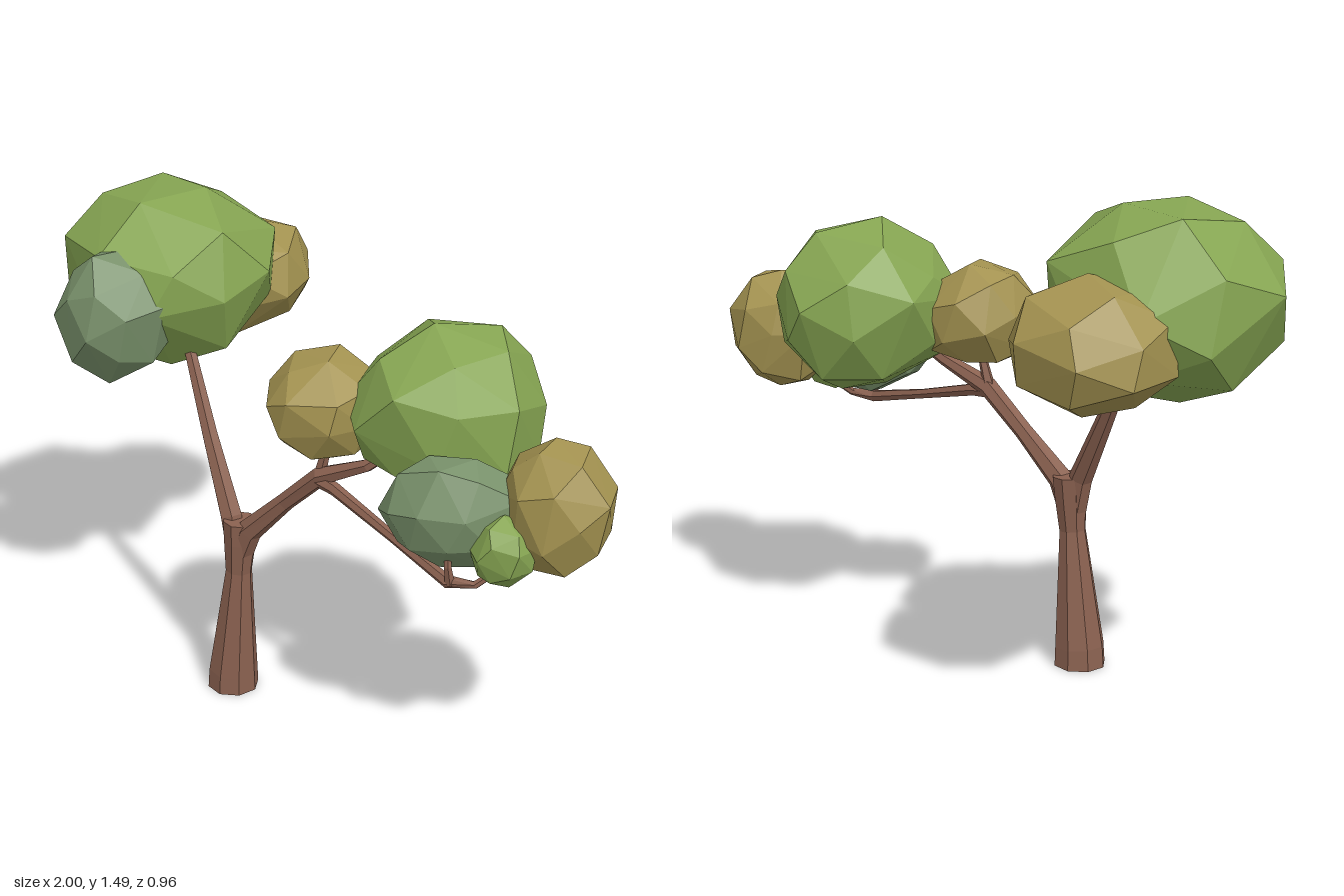
import * as THREE from 'three';
import { ConvexGeometry } from 'three/addons/geometries/ConvexGeometry.js';

const mat = (color) => new THREE.MeshStandardMaterial({ color, flatShading: true });

function seeded(seed) {
  let s = seed * 7919 + 17;
  return () => (s = (s * 16807) % 2147483647) / 2147483647;
}

// Faceted leaf clump: jittered sphere points, hulled and fitted to a box.
// shear slides x along z for clumps that lie diagonally.
function clumpGeometry(center, half, seed, count, shear = 0) {
  const rnd = seeded(seed);
  for (let i = 0; i < 5; i++) rnd();
  const turn = new THREE.Euler(rnd() * 6, rnd() * 6, rnd() * 6);
  const pts = [];
  for (let i = 0; i < count; i++) {
    const y = 1 - (2 * i + 1) / count;
    const r = Math.sqrt(1 - y * y);
    const a = i * 2.39996 + (rnd() - 0.5) * 0.35;
    const p = new THREE.Vector3(Math.cos(a) * r, y, Math.sin(a) * r);
    p.multiplyScalar(0.94 + rnd() * 0.12).applyEuler(turn);
    p.x += p.z * shear;
    pts.push(p);
  }
  const box = new THREE.Box3().setFromPoints(pts);
  const mid = box.getCenter(new THREE.Vector3());
  const size = box.getSize(new THREE.Vector3());
  const scale = new THREE.Vector3(...half).multiplyScalar(2).divide(size);
  const c = new THREE.Vector3(...center);
  pts.forEach((p) => p.sub(mid).multiply(scale).add(c));
  return new ConvexGeometry(pts);
}

// Tapered limb through rings given as [x, y, z, radius], closed at both ends.
function limbGeometry(rings, sides) {
  const P = rings.map((r) => new THREE.Vector3(r[0], r[1], r[2]));
  const pos = [], idx = [];
  const last = P.length - 1;
  const ref = new THREE.Vector3(0, 0, 1);
  P.forEach((p, i) => {
    const t = P[Math.min(i + 1, last)].clone().sub(P[Math.max(i - 1, 0)]).normalize();
    if (p.y === 0) t.set(0, 1, 0); // flat foot on the ground
    const u = new THREE.Vector3().crossVectors(t, ref).normalize();
    const v = new THREE.Vector3().crossVectors(t, u);
    for (let k = 0; k < sides; k++) {
      const a = ((k + 0.5) / sides) * Math.PI * 2;
      const q = p.clone()
        .addScaledVector(u, Math.cos(a) * rings[i][3])
        .addScaledVector(v, Math.sin(a) * rings[i][3]);
      pos.push(q.x, q.y, q.z);
    }
  });
  for (let i = 0; i < last; i++) {
    for (let k = 0; k < sides; k++) {
      const n = (k + 1) % sides;
      const a = i * sides + k, b = i * sides + n;
      idx.push(a, b, b + sides, a, b + sides, a + sides);
    }
  }
  for (let k = 1; k < sides - 1; k++) {
    idx.push(0, k + 1, k);
    idx.push(last * sides, last * sides + k, last * sides + k + 1);
  }
  const g = new THREE.BufferGeometry();
  g.setAttribute('position', new THREE.Float32BufferAttribute(pos, 3));
  g.setIndex(idx);
  const flat = g.toNonIndexed();
  flat.computeVertexNormals();
  return flat;
}

export function createModel() {
  const tree = new THREE.Group();
  tree.name = 'tree';

  const bark = mat(0x8a6150);
  const green = mat(0x86a552);
  const sage = mat(0x78906a);
  const olive = mat(0xa39250);

  // Trunk and branches
  const limbs = [
    ['trunk', 8, [[-0.2, 0, 0.16, 0.08], [-0.198, 0.06, 0.16, 0.077], [-0.167, 0.42, 0.155, 0.041],
      [-0.162, 0.52, 0.152, 0.05], [-0.16, 0.59, 0.15, 0.055]]],
    ['rightBranch', 6, [[-0.17, 0.46, 0.155, 0.036], [-0.2, 0.59, 0.157, 0.036],
      [-0.33, 0.81, 0.14, 0.026], [-0.45, 1.02, 0.12, 0.02], [-0.57, 1.2, 0.1, 0.012]]],
    ['leftBranch', 6, [[-0.165, 0.46, 0.155, 0.038], [-0.12, 0.57, 0.145, 0.038],
      [0.0, 0.7, 0.1, 0.028], [0.12, 0.82, 0.06, 0.03], [0.26, 0.89, 0.0, 0.02], [0.37, 1.0, -0.1, 0.012]]],
    ['lowBranch', 6, [[0.1, 0.81, 0.065, 0.024], [0.18, 0.8, 0.055, 0.02],
      [0.42, 0.74, 0.035, 0.016], [0.65, 0.688, 0.02, 0.019], [0.72, 0.695, -0.02, 0.012],
      [0.8, 0.8, -0.14, 0.009]]],
    ['upperTwig', 5, [[0.11, 0.81, 0.06, 0.02], [0.13, 0.9, 0.05, 0.014], [0.13, 1.0, 0.04, 0.01]]],
    ['endTwig', 5, [[0.66, 0.685, 0.02, 0.015], [0.66, 0.74, 0.03, 0.011], [0.63, 0.84, 0.01, 0.008]]],
  ];
  for (const [name, sides, rings] of limbs) {
    const m = new THREE.Mesh(limbGeometry(rings, sides), bark);
    m.name = name;
    tree.add(m);
  }

  // Leaf clumps: name, material, centre, half size, seed, points, shear
  const clumps = [
    ['rightCrown', green, [-0.655, 1.21, 0.06], [0.345, 0.28, 0.3], 3, 28],
    ['rightFrontClump', sage, [-0.555, 1.175, 0.315], [0.165, 0.2, 0.165], 5, 26],
    ['rightBackClump', olive, [-0.685, 1.15, -0.23], [0.235, 0.185, 0.24], 8, 26],
    ['leftCrown', green, [0.375, 1.07, -0.19], [0.275, 0.26, 0.29], 11, 30],
    ['innerClump', olive, [0.12, 1.05, 0.04], [0.16, 0.16, 0.18], 14, 28],
    ['lowClump', sage, [0.615, 0.88, -0.02], [0.17, 0.16, 0.17], 17, 28, -0.5],
    ['smallClump', green, [0.775, 0.815, -0.06], [0.095, 0.105, 0.09], 20, 24],
    ['outerClump', olive, [0.825, 0.92, -0.22], [0.175, 0.19, 0.16], 23, 28],
  ];
  for (const [name, material, c, h, seed, count, shear] of clumps) {
    const m = new THREE.Mesh(clumpGeometry(c, h, seed, count, shear), material);
    m.name = name;
    tree.add(m);
  }
  return tree;
}
